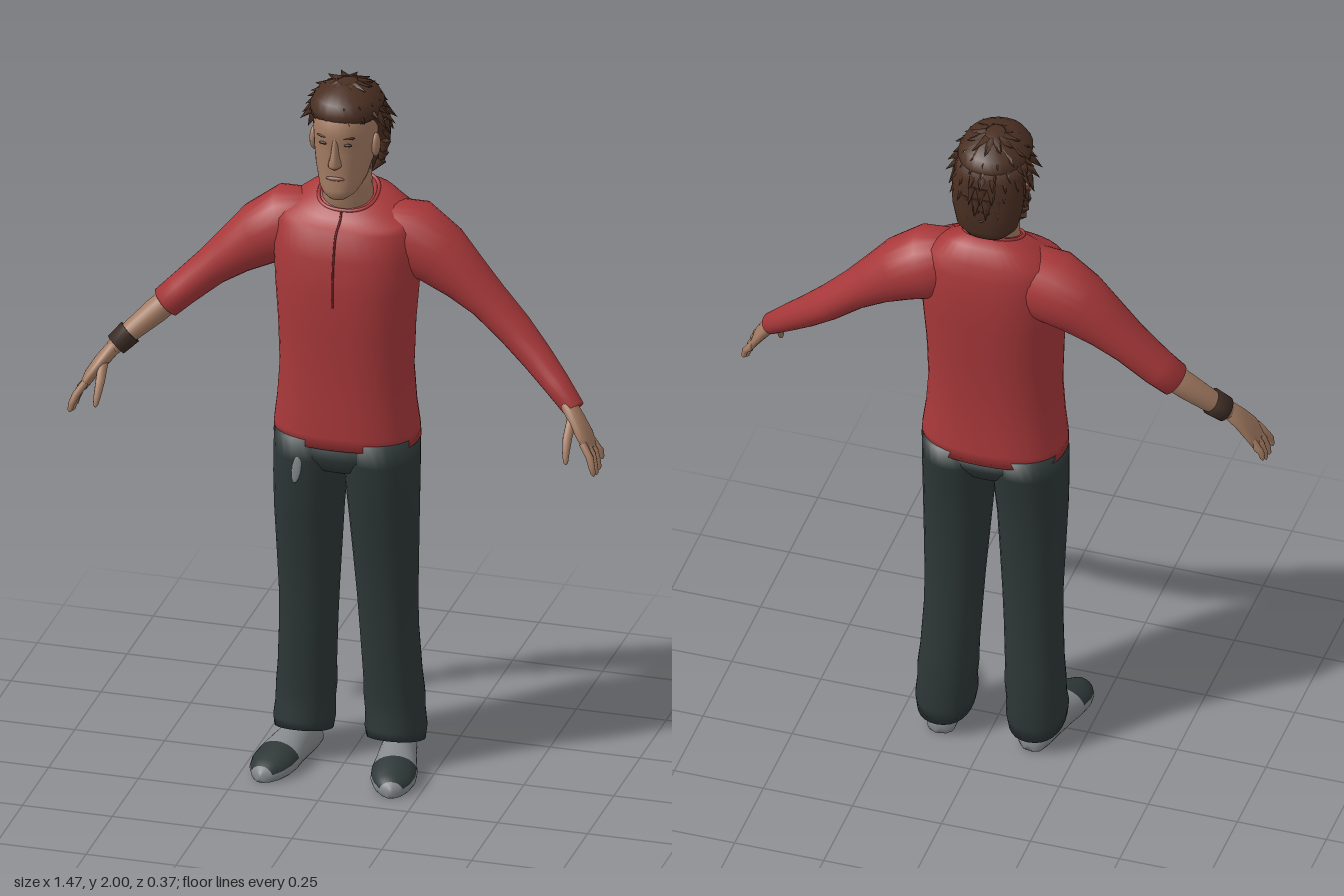
import * as THREE from 'three';
import { mergeGeometries } from 'three/addons/utils/BufferGeometryUtils.js';

const V = (x, y, z) => new THREE.Vector3(x, y, z);
const mat = (name, color) => {
  const m = new THREE.MeshStandardMaterial({ color });
  m.name = name;
  return m;
};

// Skin a list of closed rings and cap both ends; quads passing test(i, t) go to material 1.
function skinRings(rings, test) {
  const n = rings[0].length, pos = [], main = [], extra = [];
  rings.forEach(r => r.forEach(p => pos.push(p.x, p.y, p.z)));
  for (let i = 0; i < rings.length - 1; i++) {
    for (let j = 0; j < n; j++) {
      const k = (j + 1) % n, a = i * n + j, b = i * n + k;
      const out = test && test(i, ((j + 0.5) / n) * Math.PI * 2) ? extra : main;
      out.push(a, b, a + n, b, b + n, a + n);
    }
  }
  [0, rings.length - 1].forEach((i, end) => {
    const c = rings[i].reduce((s, p) => s.add(p), V(0, 0, 0)).divideScalar(n);
    const ci = pos.length / 3;
    pos.push(c.x, c.y, c.z);
    for (let j = 0; j < n; j++) {
      const a = i * n + j, b = i * n + (j + 1) % n;
      if (end) main.push(a, b, ci); else main.push(b, a, ci);
    }
  });
  const g = new THREE.BufferGeometry();
  g.setAttribute('position', new THREE.Float32BufferAttribute(pos, 3));
  g.setIndex([...main, ...extra]);
  if (test) {
    g.addGroup(0, main.length, 0);
    g.addGroup(main.length, extra.length, 1);
  }
  g.computeVertexNormals();
  return g;
}

const ringOf = (n, f) => Array.from({ length: n }, (_, j) => f((j / n) * Math.PI * 2));
const pw = (v, e) => Math.sign(v) * Math.abs(v) ** e;

// Horizontal ring from [y, centreX, halfWidth, frontZ, backZ, tilt]
function levelRing([y, cx, rx, zf, zb, tilt = 0], n = 32, power = 2.4) {
  const cz = (zf + zb) / 2, rz = (zf - zb) / 2, e = 2 / power;
  return ringOf(n, t => {
    const dz = -rz * pw(Math.sin(t), e);
    return V(cx + rx * pw(Math.cos(t), e), y - tilt * dz, cz + dz);
  });
}
const column = (rows, n, power) => skinRings(rows.map(r => levelRing(r, n, power)));

// Limb along a path of [x, y, z, thickness, width in z], on side s
function limb(s, rows, n = 20) {
  const pts = rows.map(r => V(s * r[0], r[1], r[2]));
  return skinRings(rows.map((r, i) => {
    const w = pts[Math.min(i + 1, pts.length - 1)].clone().sub(pts[Math.max(i - 1, 0)]).normalize();
    const v = V(0, 0, 1).addScaledVector(w, -w.z).normalize();
    const u = v.clone().cross(w);
    return ringOf(n, t => pts[i].clone()
      .addScaledVector(u, r[3] * Math.cos(t)).addScaledVector(v, r[4] * Math.sin(t)));
  }));
}

export function createModel() {
  const model = new THREE.Group();
  model.name = 'standingMan';
  const shirt = mat('shirt red', 0xa8383a), seam = mat('seam dark red', 0x7a2629);
  const cloth = mat('trouser charcoal', 0x2d3736), skin = mat('skin', 0xa37b62);
  const hair = mat('hair brown', 0x4a2f22), shoe = mat('shoe grey', 0x85898b);
  const leather = mat('leather brown', 0x3a2a22), lip = mat('lip', 0x8c5e4e);
  const add = (name, geo, m, parent = model) => {
    const mesh = new THREE.Mesh(geo, m);
    mesh.name = name;
    parent.add(mesh);
    return mesh;
  };
  const blob = (name, m, p, r) => {
    const b = add(name, new THREE.SphereGeometry(1, 14, 10), m);
    b.position.set(...p);
    b.scale.set(...r);
    return b;
  };

  // Shirt body with slanted collar
  const collarRow = [1.668, 0, 0.08, 0.025, -0.112, 0.42];
  add('shirtBody', column([
    [0.965, 0, 0.199, 0.105, -0.168], [1.0, 0, 0.197, 0.106, -0.166], [1.07, 0, 0.188, 0.105, -0.16],
    [1.17, 0, 0.181, 0.103, -0.157], [1.3, 0, 0.185, 0.109, -0.166], [1.42, 0, 0.194, 0.113, -0.178],
    [1.52, 0, 0.2, 0.104, -0.182], [1.59, 0, 0.194, 0.08, -0.175],
    [1.615, 0, 0.178, 0.065, -0.165, 0.15], [1.645, 0, 0.13, 0.038, -0.14, 0.35], collarRow,
  ], 40), shirt);
  add('collarBand', new THREE.TubeGeometry(
    new THREE.CatmullRomCurve3(levelRing(collarRow, 24), true), 48, 0.005, 6, true), shirt);
  add('placketSeam', new THREE.TubeGeometry(new THREE.CatmullRomCurve3([
    V(0, 1.635, 0.028), V(0, 1.614, 0.04), V(0, 1.59, 0.081), V(0, 1.52, 0.105), V(0, 1.42, 0.114), V(0, 1.39, 0.113),
  ]), 24, 0.003, 6), seam);

  // Trousers
  add('trouserSeat', column([
    [0.865, 0, 0.03, 0.03, -0.09], [0.89, 0, 0.09, 0.08, -0.13],
    [0.93, 0, 0.17, 0.098, -0.152], [0.985, 0, 0.193, 0.1, -0.162],
  ]), cloth);
  for (const s of [1, -1]) {
    const side = s > 0 ? 'left' : 'right';
    add(side + 'TrouserLeg', column([
      [0.07, 0.128, 0.077, 0.035, -0.147, -0.28], [0.105, 0.127, 0.082, 0.036, -0.153, -0.15],
      [0.15, 0.125, 0.079, 0.028, -0.148], [0.2, 0.122, 0.081, 0.027, -0.148], [0.26, 0.119, 0.078, 0.03, -0.142],
      [0.4, 0.112, 0.078, 0.038, -0.13], [0.5, 0.109, 0.081, 0.044, -0.126], [0.6, 0.107, 0.086, 0.056, -0.126],
      [0.75, 0.104, 0.093, 0.08, -0.132], [0.85, 0.1, 0.098, 0.092, -0.143],
      [0.92, 0.097, 0.1, 0.099, -0.155], [0.985, 0.095, 0.1, 0.1, -0.16],
    ].map(([y, cx, ...r]) => [y, s * cx, ...r]), 28, 2.2), cloth);

    // Shoes, toes turned out, with a dark toe panel: [distance from heel, halfWidth, height]
    const a = s * 0.19, dir = V(Math.sin(a), 0, Math.cos(a)), across = V(0, 1, 0).cross(dir);
    const last = [[0, 0.018, 0.04], [0.012, 0.038, 0.055], [0.05, 0.047, 0.085], [0.1, 0.05, 0.092], [0.15, 0.055, 0.086],
      [0.2, 0.062, 0.074], [0.24, 0.061, 0.063], [0.275, 0.05, 0.052], [0.3, 0.032, 0.042], [0.313, 0.01, 0.028]];
    add(side + 'Shoe', skinRings(last.map(([d, w, h]) => ringOf(28, t => V(s * 0.123, 0, -0.125)
      .addScaledVector(dir, d).addScaledVector(across, w * Math.cos(t))
      .add(V(0, Math.max(0, h * (0.38 + 0.62 * Math.sin(t))), 0)))),
    (i, t) => i >= 5 && i < 8 && Math.sin(t) > 0.3), [shoe, cloth]);

    // Sleeves: full on the left, pushed up on the right
    const upper = [[0.08, 1.57, -0.06, 0.08, 0.08], [0.17, 1.545, -0.07, 0.103, 0.1], [0.25, 1.5, -0.066, 0.088, 0.088],
      [0.32, 1.445, -0.06, 0.067, 0.075], [0.385, 1.39, -0.055, 0.053, 0.064], [0.46, 1.32, -0.045, 0.047, 0.057]];
    add(side + 'Sleeve', limb(s, s > 0
      ? [...upper, [0.53, 1.255, -0.022, 0.042, 0.046], [0.59, 1.2, 0.005, 0.036, 0.04], [0.65, 1.143, 0.035, 0.029, 0.032]]
      : [...upper, [0.505, 1.278, -0.033, 0.045, 0.05]], 24), shirt);

    // Forearm, palm, fingers and thumb
    const arm = new THREE.Group();
    arm.name = side + 'ForearmAndHand';
    model.add(arm);
    add('forearm', limb(s, [[0.46, 1.32, -0.045, 0.035, 0.04], [0.53, 1.255, -0.02, 0.035, 0.038],
      [0.59, 1.2, 0.005, 0.029, 0.033], [0.635, 1.155, 0.035, 0.021, 0.027]]), skin, arm);
    add('palm', limb(s, [[0.625, 1.167, 0.03, 0.02, 0.025], [0.66, 1.123, 0.05, 0.02, 0.034],
      [0.688, 1.083, 0.063, 0.017, 0.043], [0.705, 1.05, 0.069, 0.011, 0.04]]), skin, arm);
    for (let f = 0; f < 4; f++) {
      const z = 0.039 + f * 0.02, tip = 0.037 + f * 0.028, drop = [0.022, 0.004, 0, 0.008][f];
      add('finger', limb(s, [[0.692, 1.075, z, 0.01, 0.011], [0.715, 1.04, (z + tip) / 2, 0.0105, 0.0105],
        [0.724, 1.01 + drop, tip, 0.009, 0.009], [0.728, 0.992 + drop, tip, 0.007, 0.007],
        [0.729, 0.985 + drop, tip, 0.002, 0.002]], 10), skin, arm);
    }
    add('thumb', limb(s, [[0.652, 1.128, 0.06, 0.014, 0.014], [0.65, 1.085, 0.1, 0.013, 0.013],
      [0.652, 1.05, 0.122, 0.01, 0.01], [0.654, 1.028, 0.131, 0.007, 0.007], [0.655, 1.022, 0.133, 0.002, 0.002]], 10), skin, arm);

    // Face features on each side
    blob(side + 'Ear', skin, [s * 0.086, 1.83, -0.008], [0.012, 0.034, 0.02]);
    blob(side + 'Eye', leather, [s * 0.033, 1.86, 0.083], [0.013, 0.0045, 0.005]);
    blob(side + 'Brow', hair, [s * 0.035, 1.881, 0.084], [0.019, 0.004, 0.006]).rotation.set(0, s * 0.3, 0);
  }

  // Wristband and worn patch on the thigh
  add('wristband', limb(-1, [[0.594, 1.196, 0.008, 0.035, 0.039], [0.627, 1.163, 0.027, 0.032, 0.037]]), leather);
  blob('thighPatch', shoe, [-0.105, 0.895, 0.097], [0.013, 0.042, 0.004]).rotation.z = -0.15;

  // Neck and head
  add('neck', column([[1.58, 0, 0.075, 0.01, -0.11], [1.66, 0, 0.07, 0.022, -0.1],
    [1.7, 0, 0.066, 0.035, -0.1], [1.78, 0, 0.064, 0.04, -0.1]], 24, 2), skin);
  add('head', column([
    [1.695, 0, 0.026, 0.082, 0.02], [1.708, 0, 0.045, 0.092, -0.02], [1.725, 0, 0.057, 0.094, -0.05],
    [1.745, 0, 0.065, 0.09, -0.075], [1.78, 0, 0.074, 0.09, -0.1], [1.83, 0, 0.081, 0.09, -0.12],
    [1.86, 0, 0.083, 0.09, -0.125], [1.885, 0, 0.083, 0.097, -0.125], [1.92, 0, 0.081, 0.09, -0.115],
    [1.95, 0, 0.07, 0.07, -0.1], [1.98, 0, 0.04, 0.03, -0.06],
  ], 32, 2.2), skin);
  add('nose', column([[1.79, 0, 0.01, 0.1, 0.06], [1.798, 0, 0.018, 0.113, 0.06], [1.808, 0, 0.017, 0.117, 0.06],
    [1.83, 0, 0.012, 0.109, 0.06], [1.865, 0, 0.009, 0.097, 0.06], [1.885, 0, 0.008, 0.094, 0.06]], 16, 2), skin);
  blob('mouth', lip, [0, 1.76, 0.088], [0.026, 0.006, 0.007]);

  // Hair: crown, back mass and rows of tapering locks
  add('hairCrown', column([[1.915, 0, 0.095, 0.085, -0.145], [1.94, 0, 0.098, 0.09, -0.148], [1.965, 0, 0.085, 0.073, -0.13],
    [1.985, 0, 0.055, 0.042, -0.095], [1.996, 0, 0.02, 0.0, -0.055]], 24, 2.1), hair);
  add('hairBack', column([[1.712, 0, 0.055, -0.07, -0.14], [1.74, 0, 0.083, -0.045, -0.154], [1.8, 0, 0.097, -0.03, -0.158],
    [1.87, 0, 0.1, -0.015, -0.158], [1.905, 0, 0.098, 0.035, -0.152], [1.935, 0, 0.096, 0.08, -0.147]], 24, 2.3), hair);
  const locks = [];
  for (let row = 0; row < 9; row++) {
    const e = -0.9 + row * 0.27, count = Math.round(22 * Math.max(0.35, Math.cos(e * 0.8)));
    for (let c = 0; c < count; c++) {
      const a = ((c + (row % 2) / 2) / count) * Math.PI * 2;
      if (e < 0.68 && Math.cos(a) > (e < 0.3 ? -0.1 : 0.3)) continue;
      const spread = Math.cos(e < 0 ? e * 0.6 : e);
      const p = V(0.1 * spread * Math.sin(a), 1.86 + 0.13 * Math.sin(e), -0.035 + 0.118 * spread * Math.cos(a));
      const out = V(Math.cos(e) * Math.sin(a), Math.sin(e), Math.cos(e) * Math.cos(a));
      const down = V(Math.sin(e) * Math.sin(a), -Math.cos(e), Math.sin(e) * Math.cos(a));
      const way = down.multiplyScalar(0.9).addScaledVector(out, 0.28 + 0.1 * Math.sin(c * 5 + row * 3)).normalize();
      const len = 0.052 + 0.01 * Math.sin(c * 7 + row * 2);
      const cone = new THREE.ConeGeometry(0.016, len, 5);
      cone.applyQuaternion(new THREE.Quaternion().setFromUnitVectors(V(0, 1, 0), way));
      p.addScaledVector(way, len * 0.4);
      cone.translate(p.x, p.y, p.z);
      const q = cone.attributes.position;
      for (let i = 0; i < q.count; i++) q.setY(i, Math.min(q.getY(i), 2));
      locks.push(cone);
    }
  }
  add('hairLocks', mergeGeometries(locks), hair);
  return model;
}
